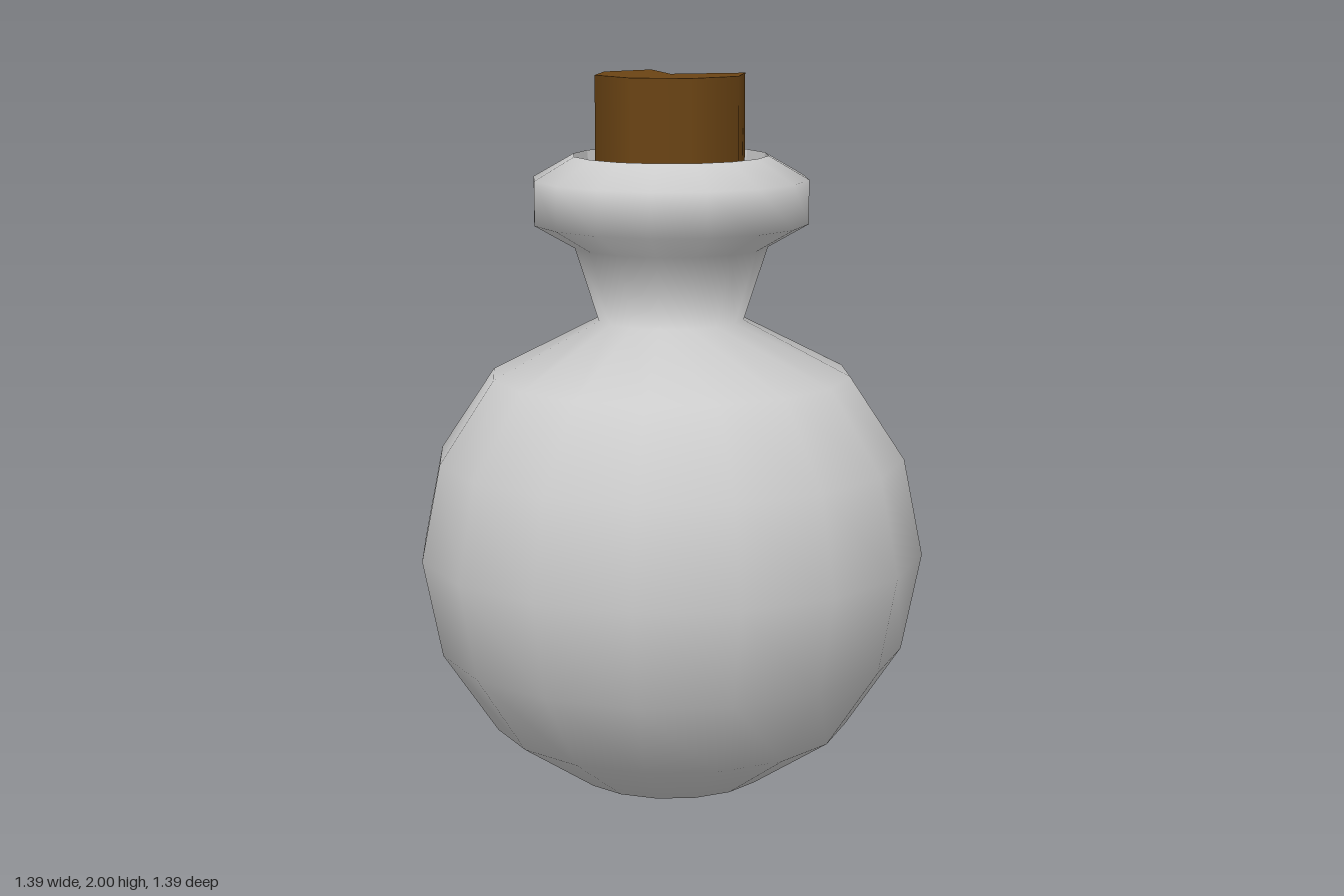
import * as THREE from 'three';

const SIDES = 16;

// Turned surface from [radius, height] pairs, listed bottom to top for an outer face
function turned(name, profile, material) {
  const points = profile.map(([r, y]) => new THREE.Vector2(r, y));
  const mesh = new THREE.Mesh(new THREE.LatheGeometry(points, SIDES), material);
  mesh.name = name;
  return mesh;
}

export function createModel() {
  const model = new THREE.Group();
  model.name = 'corkedFlask';

  const glass = new THREE.MeshStandardMaterial({ color: 0xcccccc });
  const innerGlass = new THREE.MeshStandardMaterial({ color: 0xcccccc, flatShading: true });
  const corkMaterial = new THREE.MeshStandardMaterial({ color: 0x6b4414 });

  // Round body, flared neck and thick lip in one smooth skin
  model.add(turned('flaskBody', [
    [0, 0.005], [0.267, 0.058], [0.492, 0.208], [0.642, 0.432], [0.695, 0.7],
    [0.642, 0.965], [0.492, 1.19], [0.2, 1.34], [0.265, 1.54],
    [0.375, 1.603], [0.375, 1.722], [0.265, 1.785],
  ], glass));

  // Faceted inside of the mouth, narrowing down the neck
  model.add(turned('mouthInside', [[0.265, 1.785], [0.24, 1.54], [0.19, 1.36], [0, 1.36]], innerGlass));

  // Eight-sided cork with one top corner worn down at the back
  const corkGeometry = new THREE.CylinderGeometry(0.208, 0.208, 0.55, 8);
  corkGeometry.translate(0, 1.725, 0);
  const pos = corkGeometry.attributes.position;
  for (let i = 0; i < pos.count; i++) {
    if (pos.getY(i) > 1.9 && pos.getZ(i) < -0.2) pos.setY(i, 1.958);
  }
  const cork = new THREE.Mesh(corkGeometry, corkMaterial);
  cork.name = 'cork';
  model.add(cork);

  return model;
}
